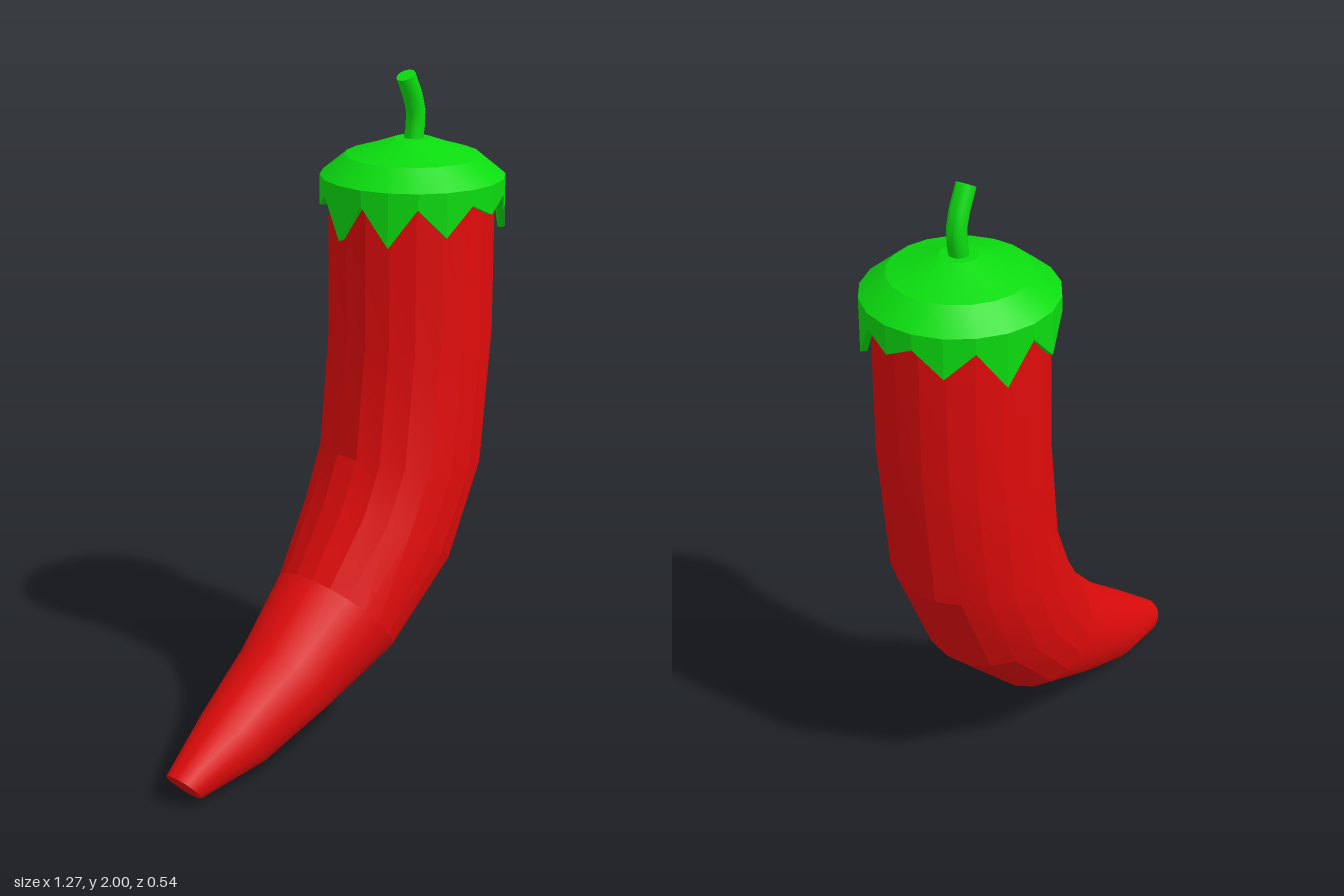
import * as THREE from 'three';
import { toCreasedNormals } from 'three/addons/utils/BufferGeometryUtils.js';

const SIDES = 20;

// Ring of points whose x/y diameter runs from left (lx, ly) to right (rx, ry), with half depth d
function ring(lx, ly, rx, ry, d, sides = SIDES) {
  return Array.from({ length: sides }, (_, i) => {
    const a = ((i + 0.5) / sides) * Math.PI * 2;
    const c = Math.cos(a) / 2;
    return new THREE.Vector3((lx + rx) / 2 + (rx - lx) * c, (ly + ry) / 2 + (ry - ly) * c, Math.sin(a) * d);
  });
}

// Skin over rings listed from top to bottom, with optional end caps
function skin(name, rings, material, crease, capTop = true, capBottom = true) {
  const n = rings[0].length;
  const points = rings.flat();
  const index = [];
  for (let r = 0; r < rings.length - 1; r++) {
    for (let i = 0; i < n; i++) {
      const a = r * n + i, b = r * n + (i + 1) % n;
      index.push(a, b, a + n, b, b + n, a + n);
    }
  }
  const addCap = (r, top) => {
    const center = new THREE.Vector3();
    rings[r].forEach((p) => center.addScaledVector(p, 1 / n));
    const c = points.push(center) - 1;
    for (let i = 0; i < n; i++) {
      const a = r * n + i, b = r * n + (i + 1) % n;
      index.push(c, top ? b : a, top ? a : b);
    }
  };
  if (capTop) addCap(0, true);
  if (capBottom) addCap(rings.length - 1, false);
  const geometry = new THREE.BufferGeometry().setFromPoints(points);
  geometry.setIndex(index);
  const mesh = new THREE.Mesh(toCreasedNormals(geometry, crease), material);
  mesh.name = name;
  return mesh;
}

export function createModel() {
  const group = new THREE.Group();
  group.name = 'chiliPepper';
  const red = new THREE.MeshStandardMaterial({ color: 0xe00b0b });
  const green = new THREE.MeshStandardMaterial({ color: 0x0bdc0f });

  // Curved pod: faceted upper part, smooth tapering tail
  const upper = [
    ring(0.115, 1.69, 0.605, 1.69, 0.245),
    ring(0.115, 1.22, 0.605, 1.22, 0.245),
    ring(0.08, 0.88, 0.56, 0.8, 0.245),
    ring(0.02, 0.74, 0.415, 0.49, 0.238),
    ring(-0.1, 0.55, 0.17, 0.255, 0.2),
  ];
  const tail = [
    upper[4],
    ring(-0.28, 0.37, -0.08, 0.14, 0.156),
    ring(-0.47, 0.225, -0.33, 0.04, 0.115),
    ring(-0.64, 0.09, -0.56, 0, 0.06),
  ];
  group.add(skin('podUpper', upper, red, 0.29, true, false));
  group.add(skin('podTail', tail, red, 0.6, false, true));

  // Calyx: low dome and a hanging rim cut into uneven teeth
  const cx = 0.362;
  const level = (r, y) => ring(cx - r, y, cx + r, y, r);
  const tips = [1.605, 1.53, 1.605, 1.56, 1.53, 1.53, 1.6, 1.56, 1.53, 1.57];
  const jagged = (r) => level(r, 0).map((p, i) => p.setY(i % 2 ? 1.645 : tips[i / 2]));
  group.add(skin('calyx', [
    level(0.055, 1.8), level(0.12, 1.777), level(0.2, 1.752), level(0.274, 1.692),
    jagged(0.274), jagged(0.254), level(0.254, 1.69),
  ], green, 0.29));

  // Bent stem
  group.add(skin('stem', [
    ring(0.302, 1.974, 0.354, 2, 0.029, 12),
    ring(0.332, 1.914, 0.386, 1.935, 0.029, 12),
    ring(0.345, 1.876, 0.4, 1.886, 0.029, 12),
    ring(0.344, 1.836, 0.399, 1.832, 0.029, 12),
    ring(0.334, 1.785, 0.389, 1.775, 0.029, 12),
  ], green, 0.7));

  return group;
}
